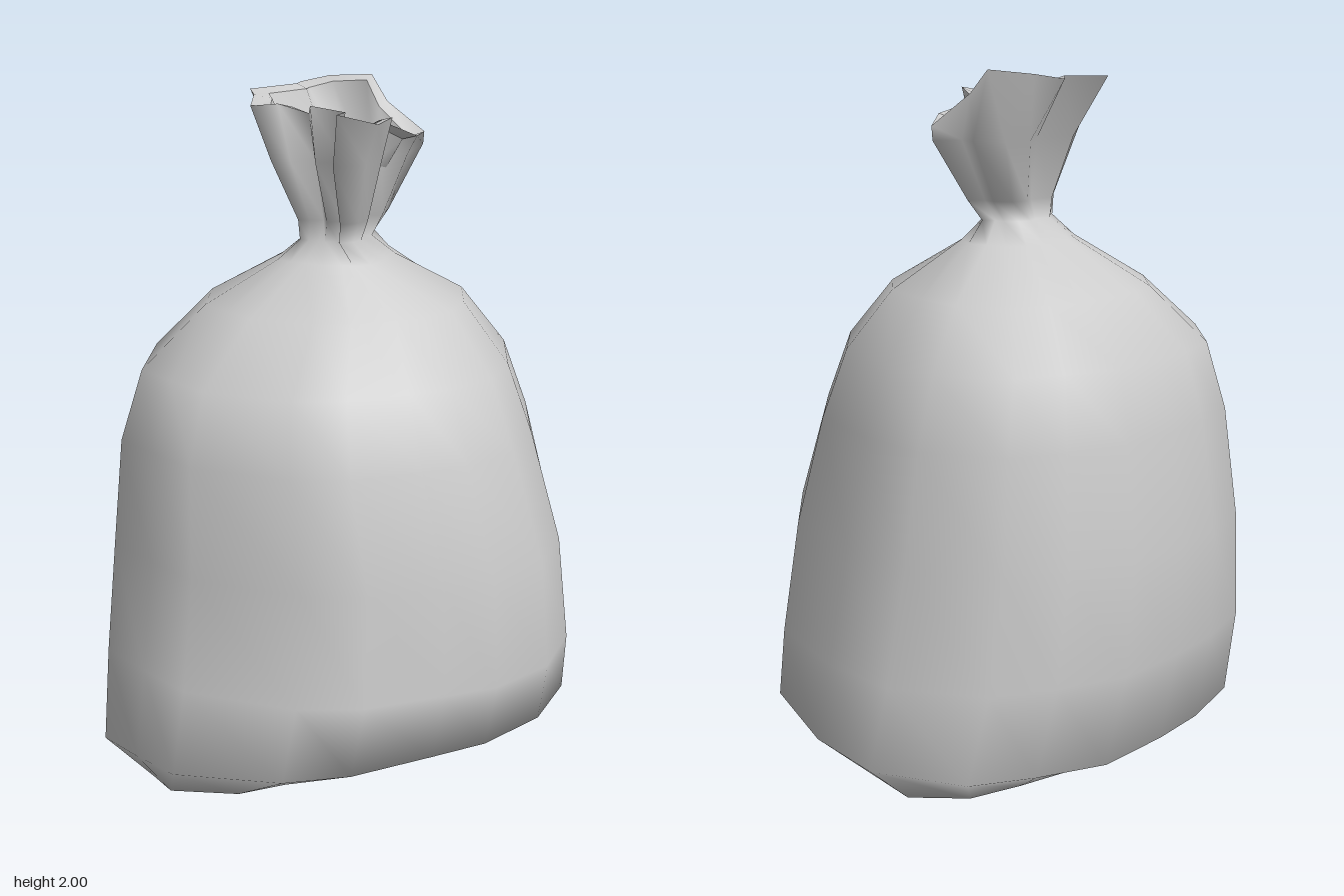
import * as THREE from 'three';
import { mergeVertices } from 'three/addons/utils/BufferGeometryUtils.js';

// Plan of the full sack, [x, z], starting at the back and running towards +x
const BODY = [
  [-0.13, -0.685], [0.08, -0.68], [0.34, -0.65], [0.54, -0.54], [0.71, -0.42], [0.815, -0.15],
  [0.75, 0.1], [0.58, 0.4], [0.26, 0.61], [0.02, 0.68], [-0.21, 0.645], [-0.36, 0.56],
  [-0.58, 0.43], [-0.71, 0.28], [-0.82, -0.05], [-0.78, -0.24], [-0.73, -0.43], [-0.38, -0.65],
];
// Crumpled rim of the mouth, [x, y, z], with matching order
const RIM = [
  [-0.12, 1.975, -0.295], [0.03, 1.98, -0.24], [0.1, 1.975, -0.285], [0.18, 1.99, -0.235],
  [0.21, 2.0, -0.1], [0.18, 1.93, -0.02], [0.25, 1.84, 0.065], [0.06, 1.86, 0.175],
  [0.02, 1.9, 0.07], [-0.08, 1.93, 0.19], [-0.16, 1.92, 0.2], [-0.25, 1.95, 0.125],
  [-0.14, 1.94, 0.07], [-0.21, 1.96, 0.0], [-0.16, 1.93, -0.045], [-0.23, 1.96, -0.1],
  [-0.255, 1.95, -0.18], [-0.18, 1.97, -0.23],
];
const RIM_PLAN = RIM.map(([x, , z]) => [x, z]);

// Stretch a plan so that it fills the box x0..x1, z0..z1
function fit(plan, [x0, x1, z0, z1]) {
  const range = k => [Math.min(...plan.map(p => p[k])), Math.max(...plan.map(p => p[k]))];
  const [ax, bx] = range(0), [az, bz] = range(1);
  return plan.map(([x, z]) => [
    x0 + (x1 - x0) * (x - ax) / (bx - ax),
    z0 + (z1 - z0) * (z - az) / (bz - az),
  ]);
}

// One cross-section; pleat blends the round plan into the crumpled one
function ring(y, box, pleat = 0) {
  const a = fit(BODY, box), b = fit(RIM_PLAN, box);
  return a.map(([x, z], i) => {
    const px = x + (b[i][0] - x) * pleat, pz = z + (b[i][1] - z) * pleat;
    return [px, typeof y === 'function' ? y(px, pz) : y, pz];
  });
}

const point = (x, y, z) => BODY.map(() => [x, y, z]);

// Skin a list of cross-sections with smooth normals
function loft(name, rings, material) {
  const n = BODY.length, index = [];
  for (let r = 0; r < rings.length - 1; r++) {
    for (let i = 0; i < n; i++) {
      const j = (i + 1) % n;
      const a = r * n + i, b = r * n + j, c = a + n, d = b + n;
      index.push(a, c, d, a, d, b);
    }
  }
  let geometry = new THREE.BufferGeometry();
  geometry.setAttribute('position', new THREE.Float32BufferAttribute(rings.flat(2), 3));
  geometry.setIndex(index);
  geometry = mergeVertices(geometry);
  geometry.computeVertexNormals();
  const mesh = new THREE.Mesh(geometry, material);
  mesh.name = name;
  return mesh;
}

// Rim pulled in towards the middle of the mouth and lowered
const inset = (scale, drop) => RIM.map(([x, y, z]) => [x * scale, y - drop, -0.04 + (z + 0.04) * scale]);

export function createModel() {
  const model = new THREE.Group();
  model.name = 'sack';
  const cloth = new THREE.MeshStandardMaterial({ color: 0xcccccc, side: THREE.DoubleSide });

  // Filled body, from the sagging underside up through the pinched, pleated neck
  model.add(loft('sackBody', [
    point(0, 0.005, -0.18),
    ring((x, z) => 0.025 + 0.02 * x + 0.06 * Math.max(z, 0), [-0.72, 0.73, -0.47, 0.26]),
    ring((x, z) => 0.14 + 0.08 * z, [-0.82, 0.815, -0.62, 0.66]),
    ring(0.36, [-0.745, 0.765, -0.675, 0.68]),
    ring(0.68, [-0.69, 0.69, -0.675, 0.66]),
    ring(1.0, [-0.66, 0.64, -0.63, 0.56]),
    ring(1.2, [-0.585, 0.57, -0.58, 0.48]),
    ring(1.37, [-0.38, 0.43, -0.44, 0.32]),
    ring(1.5, [-0.2, 0.18, -0.21, 0.12], 0.3),
    ring(1.56, [-0.155, 0.1, -0.13, 0.06], 0.6),
    ring(1.62, [-0.165, 0.14, -0.135, 0.085], 0.8),
    ring(1.8, [-0.25, 0.27, -0.19, 0.145], 0.9),
    RIM,
  ], cloth));

  // Turned edge of the mouth
  model.add(loft('mouthRim', [RIM, inset(0.8, 0.012)], cloth));

  // Inside of the mouth, closing at the pinch
  model.add(loft('mouthLining', [
    inset(0.8, 0.012),
    ring(1.76, [-0.16, 0.16, -0.15, 0.09], 0.9),
    point(-0.02, 1.6, -0.03),
  ], cloth));

  return model;
}
